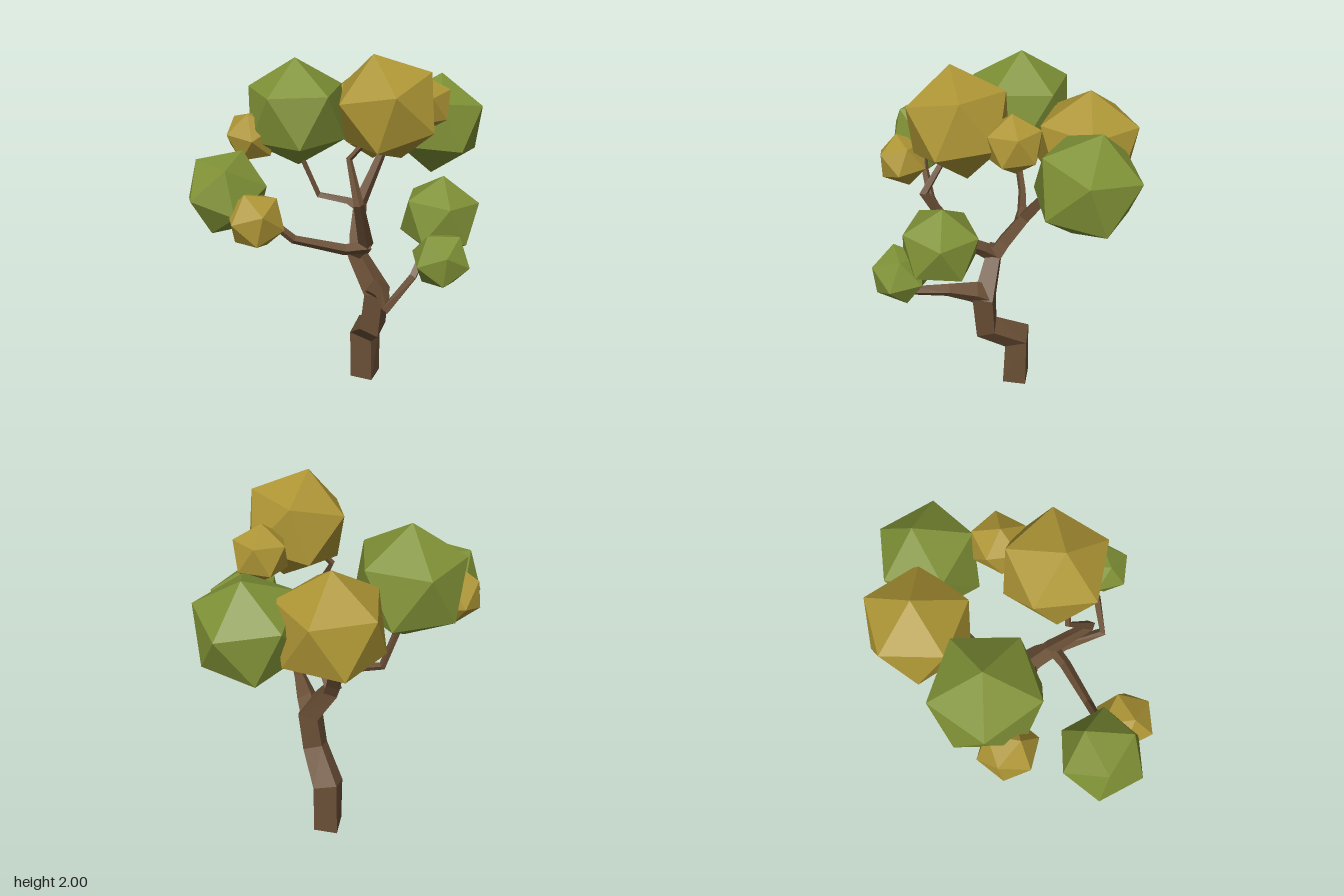
import * as THREE from 'three';

const V = (a) => new THREE.Vector3(...a);
const material = (color) => new THREE.MeshStandardMaterial({ color, flatShading: true });

// Four-sided tapering limb through points [x, y, z, radius], closed at both ends
function limbGeometry(points, start = [-0.29, 0, 0.957]) {
  const centres = points.map((p) => V(p.slice(0, 3)));
  const u = V(start);
  const last = points.length - 1;
  const rings = points.map((p, i) => {
    const before = centres[i].clone().sub(centres[Math.max(i - 1, 0)]).normalize();
    const after = centres[Math.min(i + 1, last)].clone().sub(centres[i]).normalize();
    const t = before.add(after).normalize();
    u.addScaledVector(t, -u.dot(t)).normalize();
    const v = t.clone().cross(u);
    return [[1, 0], [0, 1], [-1, 0], [0, -1]].map(([a, b]) =>
      centres[i].clone().addScaledVector(u, a * p[3]).addScaledVector(v, b * p[3]));
  });
  const corners = [];
  const quad = (a, b, c, d) => corners.push(a, b, c, a, c, d);
  for (let i = 0; i < last; i++) {
    for (let k = 0; k < 4; k++) {
      const n = (k + 1) % 4;
      quad(rings[i][k], rings[i][n], rings[i + 1][n], rings[i + 1][k]);
    }
  }
  quad(...rings[0].slice().reverse());
  quad(...rings[last]);
  const geometry = new THREE.BufferGeometry().setFromPoints(corners);
  geometry.computeVertexNormals();
  return geometry;
}

// Orthonormal frame from one direction and a second one beside it
function frame(a, b) {
  const x = a.clone().normalize();
  const z = x.clone().cross(b).normalize();
  return new THREE.Matrix4().makeBasis(x, z.clone().cross(x), z);
}

// Icosahedron turned so that one corner points along pole and a neighbour towards side
function clumpGeometry(radius, pole, side) {
  const phi = (1 + Math.sqrt(5)) / 2;
  const from = frame(V([0, 1, phi]), V([0, -1, phi])).transpose();
  const turn = frame(V(pole), V(side)).multiply(from);
  return new THREE.IcosahedronGeometry(radius, 0).applyMatrix4(turn);
}

export function createModel() {
  const tree = new THREE.Group();
  tree.name = 'tree';
  const bark = material(0x6a4f36);
  const green = material(0x7f9136);
  const gold = material(0xad9535);

  // Trunk and limbs: x, y, z, radius
  const limbs = {
    trunk: [
      [-0.16, 0, -0.15, 0.094], [-0.16, 0.31, -0.15, 0.094], [0.01, 0.44, -0.06, 0.078],
      [0.04, 0.67, -0.065, 0.078], [-0.085, 0.86, -0.03, 0.055], [-0.1, 0.92, -0.03, 0.05],
    ],
    rightSideLimb: [
      [0.02, 0.67, -0.07, 0.07], [0.09, 0.72, -0.03, 0.06], [0.21, 0.765, 0.05, 0.036],
      [0.39, 0.805, 0.185, 0.026], [0.465, 0.98, 0.08, 0.023], [0.44, 1.12, -0.04, 0.02],
    ],
    backLimb: [
      [-0.08, 0.85, -0.03, 0.052], [-0.13, 0.95, -0.07, 0.046], [-0.2, 1.1, -0.15, 0.038],
      [-0.22, 1.35, -0.33, 0.024],
    ],
    leftSideLimb: [
      [-0.18, 1.08, -0.13, 0.034], [-0.24, 1.11, -0.1, 0.026], [-0.38, 1.13, 0, 0.021],
      [-0.42, 1.36, 0.08, 0.018],
    ],
    crownLimb: [
      [-0.1, 0.86, -0.03, 0.048], [-0.02, 0.93, 0, 0.04], [0.08, 1.0, 0.05, 0.04],
      [0.2, 1.3, 0.2, 0.026], [0.07, 1.49, 0.15, 0.016], [0.14, 1.6, 0.08, 0.014],
    ],
    frontLimb: [
      [0.09, 0.99, 0.04, 0.036], [0.05, 1.0, 0.17, 0.03], [-0.07, 1.085, 0.4, 0.023],
      [-0.14, 1.2, 0.5, 0.02], [-0.22, 1.28, 0.57, 0.016],
    ],
  };
  for (const [name, points] of Object.entries(limbs)) {
    const mesh = new THREE.Mesh(limbGeometry(points), bark);
    mesh.name = name;
    tree.add(mesh);
  }

  // Leaf clumps: name, material, centre, radius, corner direction, neighbour direction
  const clumps = [
    ['leftLargeClump', green, [-0.45, 1.6, 0.08], 0.292, [0, 1, 0], [0.265, 0.13, -0.01]],
    ['leftSmallClump', gold, [-0.57, 1.485, 0.29], 0.148, [-0.02, 0.03, 0.15], [-0.12, 0.1, 0.05]],
    ['backGoldClump', gold, [-0.37, 1.54, -0.39], 0.28, [0, 1, 0], [-0.25, 0.12, 0]],
    ['backGreenClump', green, [-0.06, 1.5, -0.585], 0.275, [-0.02, 0.265, -0.05], [-0.05, 0.1, -0.255]],
    ['crownLargeClump', gold, [0.17, 1.738, -0.01], 0.272, [-0.025, 0.26, 0.07], [-0.043, 0.043, 0.26]],
    ['crownSmallClump', gold, [0.13, 1.7, -0.3], 0.146, [0, 1, 0.1], [0.2, 0.1, -0.2]],
    ['rightLargeClump', green, [0.44, 1.235, -0.11], 0.205, [0, 0.2, -0.02], [-0.19, 0.12, 0]],
    ['rightSmallClump', green, [0.585, 1.095, 0.02], 0.147, [-0.01, 0, 0.145], [0.14, 0.08, 0.05]],
    ['frontLargeClump', green, [-0.3, 1.33, 0.625], 0.218, [0.02, 0.01, 0.21], [-0.113, 0.178, 0.09]],
    ['frontSmallClump', gold, [-0.08, 1.245, 0.61], 0.15, [0.02, 0.02, 0.15], [-0.01, 0.15, 0.05]],
  ];
  for (const [name, leaf, centre, radius, pole, side] of clumps) {
    const mesh = new THREE.Mesh(clumpGeometry(radius, pole, side), leaf);
    mesh.name = name;
    mesh.position.set(...centre);
    tree.add(mesh);
  }
  return tree;
}
